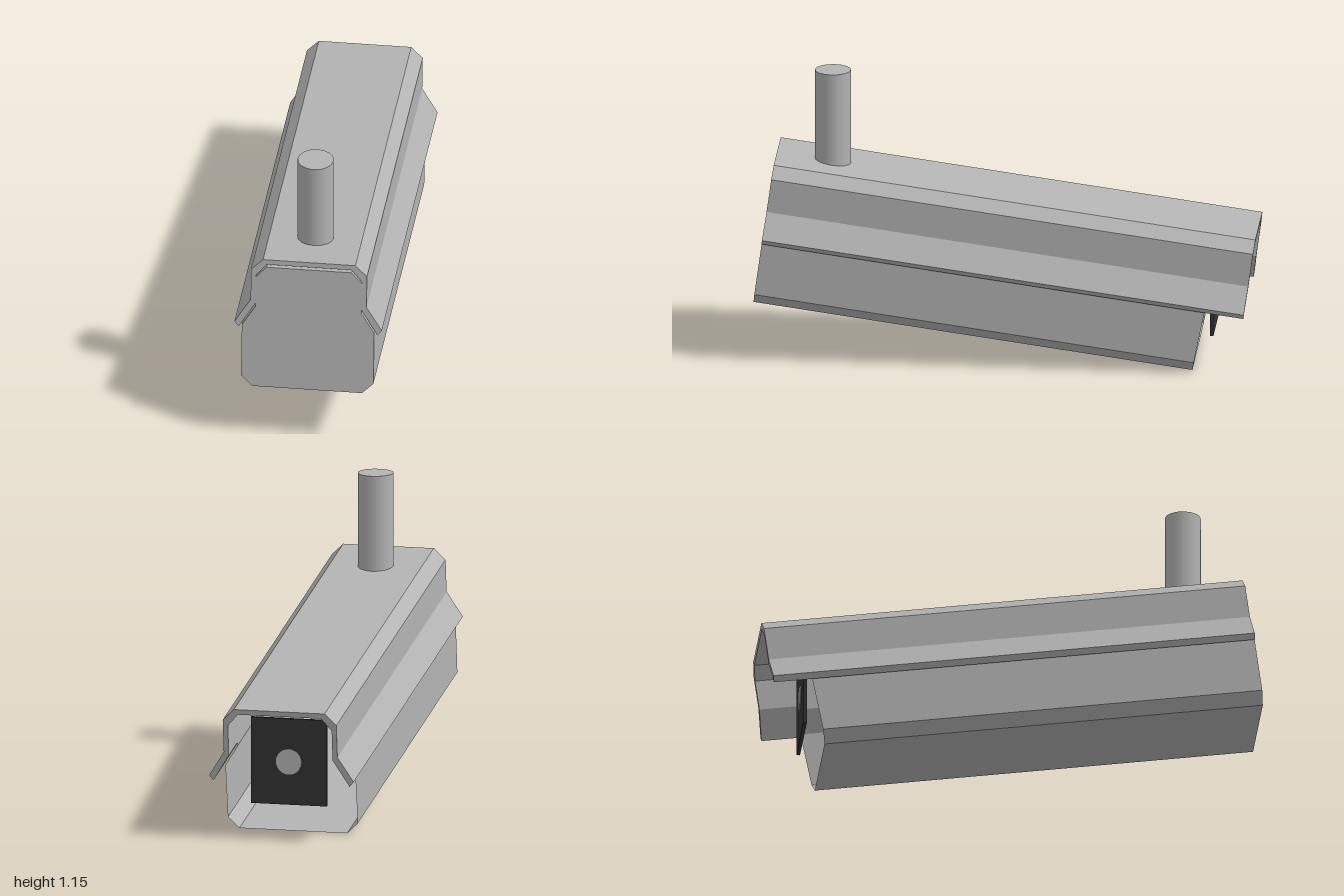
import * as THREE from 'three';

// Turns the right-hand half of a symmetric profile into the full outline
const mirrored = (half) => [...half, ...half.slice().reverse().map(([x, y]) => [-x, y])];

// Open tube along z: front at z = 0, slightly raked edge at the back
function openTube(outline, length, rake) {
  const pos = [];
  const front = ([x, y]) => [x, y, 0];
  const back = ([x, y]) => [x, y, -length - rake * y];
  outline.forEach((a, i) => {
    const b = outline[(i + 1) % outline.length];
    pos.push(...front(a), ...back(a), ...front(b), ...front(b), ...back(a), ...back(b));
  });
  const g = new THREE.BufferGeometry();
  g.setAttribute('position', new THREE.Float32BufferAttribute(pos, 3));
  g.computeVertexNormals();
  return g;
}

const toShape = (pts) => new THREE.Shape(pts.map(([x, y]) => new THREE.Vector2(x, y)));

export function createModel() {
  const grey = new THREE.MeshStandardMaterial({ color: 0xb4b4b4 });
  const greyShell = new THREE.MeshStandardMaterial({ color: 0xb4b4b4, side: THREE.DoubleSide });
  const dark = new THREE.MeshStandardMaterial({ color: 0x333333 });
  grey.name = 'grey';
  greyShell.name = 'grey shell';
  dark.name = 'dark grey';

  const model = new THREE.Group();
  model.name = 'securityCamera';
  const add = (parent, name, geometry, material, x = 0, y = 0, z = 0) => {
    const mesh = new THREE.Mesh(geometry, material);
    mesh.name = name;
    mesh.position.set(x, y, z);
    parent.add(mesh);
    return mesh;
  };

  // Tilted housing, origin at the bottom edge of its closed end
  const housing = new THREE.Group();
  housing.name = 'housing';
  housing.position.set(0, 0.25, 1);
  housing.rotation.x = -0.1375;
  model.add(housing);

  // Hollow body, closed at +z and open at -z
  const body = mirrored([[0.22, 0], [0.265, 0.045], [0.265, 0.27],
    [0.212, 0.355], [0.212, 0.487], [0.17, 0.533]]);
  add(housing, 'bodyShell', openTube(body, 1.767, 0.062), greyShell);
  add(housing, 'bodyEndCap', new THREE.ShapeGeometry(toShape(body)), greyShell);

  // Folded cover with flared skirts, overhanging the open end
  const outer = [[0.295, 0.283], [0.232, 0.384], [0.232, 0.52], [0.185, 0.566]];
  const inner = [[0.278, 0.262], [0.212, 0.37], [0.212, 0.495], [0.17, 0.545]];
  const cover = [...mirrored(outer), ...mirrored(inner).reverse()];
  add(housing, 'cover', new THREE.ExtrudeGeometry(toShape(cover),
    { depth: 1.94, bevelEnabled: false }), grey, 0, 0, -1.94);

  // Upright lens plate and round lens in the open end
  add(model, 'lensPlate', new THREE.BoxGeometry(0.31, 0.35, 0.014), dark, 0, 0.305, -0.822);
  const lens = add(model, 'lens', new THREE.CylinderGeometry(0.052, 0.052, 0.006, 24),
    grey, 0, 0.305, -0.83);
  lens.rotation.x = Math.PI / 2;

  // Vertical mounting pole
  add(model, 'mountingPole', new THREE.CylinderGeometry(0.072, 0.072, 0.392, 16),
    grey, 0, 0.961, 0.7);

  return model;
}
